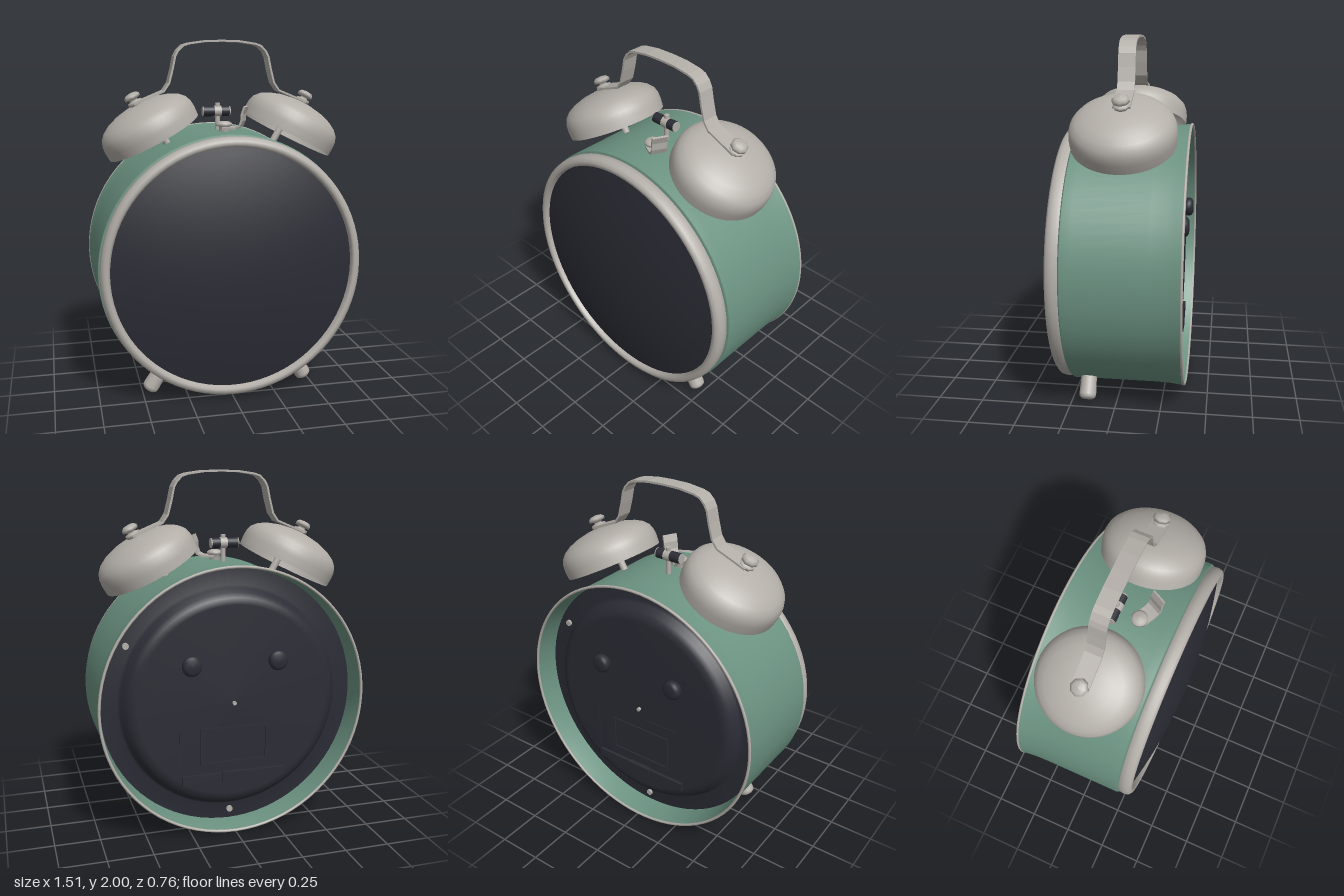
import * as THREE from 'three';

export function createModel() {
  const model = new THREE.Group();
  const CY = 0.757; // height of the case axis

  const mat = (name, color) => {
    const m = new THREE.MeshStandardMaterial({ color, side: THREE.DoubleSide });
    m.name = name;
    return m;
  };
  const green = mat('green enamel', 0x6c9382);
  const metal = mat('warm grey metal', 0xb3aea8);
  const dark = mat('dark plastic', 0x2b2c35);

  const add = (name, geo, material, x = 0, y = 0, z = 0, parent = model) => {
    const mesh = new THREE.Mesh(geo, material);
    mesh.name = name;
    mesh.position.set(x, y, z);
    parent.add(mesh);
    return mesh;
  };
  const lathe = (pts, seg = 64) =>
    new THREE.LatheGeometry(pts.map(([r, h]) => new THREE.Vector2(r, h)), seg);
  // Lathe turned so that its height runs along z, on the case axis
  const turned = (name, pts, material) =>
    add(name, lathe(pts, 80).rotateX(Math.PI / 2), material, 0, CY, 0);
  const box = (name, w, h, d, material, x, y, z) =>
    add(name, new THREE.BoxGeometry(w, h, d), material, x, y, z);
  const rod = (name, a, b, r, material, seg = 16) => {
    const p = new THREE.Vector3(...a), q = new THREE.Vector3(...b);
    const mesh = add(name, new THREE.CylinderGeometry(r, r, p.distanceTo(q), seg), material);
    mesh.position.copy(p).add(q).multiplyScalar(0.5);
    mesh.quaternion.setFromUnitVectors(new THREE.Vector3(0, 1, 0), q.sub(p).normalize());
    return mesh;
  };
  // Bent sheet strip: a path in x,y with a thickness, extruded along z
  const strap = (path, thick, width) => {
    const pts = path.map(([x, y]) => new THREE.Vector2(x, y));
    const inner = pts.map((p, i) => {
      const d = pts[Math.min(i + 1, pts.length - 1)].clone().sub(pts[Math.max(i - 1, 0)]).normalize();
      return new THREE.Vector2(p.x + d.y * thick, p.y - d.x * thick);
    });
    const shape = new THREE.Shape([...pts, ...inner.reverse()]);
    return new THREE.ExtrudeGeometry(shape, { depth: width, bevelEnabled: false }).translate(0, 0, -width / 2);
  };

  // Case: outer wall with a flared back, and the inner wall of the recess
  turned('caseWall', [[0.753, -0.37], [0.748, -0.33], [0.743, -0.28], [0.741, -0.2], [0.741, 0.2], [0.742, 0.245], [0.738, 0.253], [0.7, 0.255]], green);
  turned('caseInnerWall', [[0.729, -0.22], [0.731, -0.28], [0.736, -0.33], [0.742, -0.37]], green);
  add('backRim', new THREE.TorusGeometry(0.748, 0.008, 8, 80), metal, 0, CY, -0.369);

  // Front bezel and domed glass
  turned('bezel', [[0.715, 0.25], [0.732, 0.258], [0.735, 0.29], [0.729, 0.315], [0.712, 0.328], [0.695, 0.329], [0.683, 0.32], [0.678, 0.29]], metal);
  const dome = [];
  for (let i = 0; i <= 12; i++) {
    const r = 0.683 * (1 - i / 12);
    dome.push([r, 0.38 - 0.173 * r * r]);
  }
  turned('glass', dome, dark);

  // Back panel with a raised centre plate
  turned('backPanel', [[0, -0.325], [0.54, -0.322], [0.575, -0.312], [0.6, -0.29], [0.62, -0.255], [0.635, -0.24], [0.735, -0.235]], dark);
  for (const side of [-1, 1]) {
    const knob = lathe([[0, -0.38], [0.035, -0.378], [0.05, -0.37], [0.056, -0.355], [0.052, -0.335], [0.04, -0.32]], 24);
    add('settingKnob', knob.rotateX(Math.PI / 2), dark, side * 0.245, 0.98, 0);
  }
  for (const [x, y] of [[0.58, 1.09], [0, 0.085]])
    add('backScrew', new THREE.CylinderGeometry(0.018, 0.018, 0.025, 14).rotateX(Math.PI / 2), metal, x, y, -0.24);
  add('centrePin', new THREE.CylinderGeometry(0.011, 0.011, 0.03, 12).rotateX(Math.PI / 2), metal, 0, 0.75, -0.325);

  // Battery door: frame, latch bar and seams
  for (const s of [-1, 1]) {
    box('doorFrameSide', 0.012, 0.21, 0.014, dark, s * 0.19, 0.51, -0.324);
    box('doorFrameEdge', 0.39, 0.012, 0.014, dark, 0, 0.51 + s * 0.1, -0.324);
  }
  box('latchBar', 0.6, 0.05, 0.03, dark, 0, 0.325, -0.325);
  box('latchTab', 0.14, 0.06, 0.045, dark, 0, 0.325, -0.325);
  box('doorSeam', 0.22, 0.01, 0.01, dark, -0.14, 0.685, -0.323);
  box('doorSeam', 0.006, 0.28, 0.006, dark, 0.31, 0.52, -0.323);

  // Bells, posts, nuts and feet, mirrored left and right
  const tilt = 0.48, bellZ = -0.037;
  const bellProfile = [[0.28, 0], [0.283, 0.05], [0.28, 0.085], [0.268, 0.117], [0.241, 0.146],
    [0.2, 0.17], [0.14, 0.191], [0.07, 0.204], [0, 0.207]];
  const nutProfile = [[0.03, 0.2], [0.042, 0.213], [0.042, 0.228], [0.022, 0.232], [0.022, 0.242],
    [0.046, 0.244], [0.046, 0.26], [0.032, 0.273], [0, 0.278]];
  for (const s of [-1, 1]) {
    const bell = new THREE.Group();
    bell.name = s > 0 ? 'leftBell' : 'rightBell';
    bell.position.set(s * 0.387, 1.463, bellZ);
    bell.rotation.z = -s * tilt;
    model.add(bell);
    add('bellShell', lathe(bellProfile, 48), metal, 0, 0, 0, bell);
    add('bellNut', lathe(nutProfile, 8), metal, 0, 0, 0, bell);
    rod('bellPost', [s * 0.29, 1.39, bellZ], [s * 0.43, 1.63, bellZ], 0.02, metal);

    const foot = add('foot', lathe([[0, 0], [0.03, 0.003], [0.044, 0.014], [0.047, 0.03], [0.042, 0.16]], 24), metal,
      s * 0.47, 0.03, 0.157);
    foot.rotation.z = s * 0.56;
  }

  // Carrying handle
  const half = [[0.5, 1.654], [0.46, 1.672], [0.335, 1.724], [0.307, 1.765], [0.287, 1.84], [0.272, 1.91],
    [0.255, 1.942], [0.225, 1.972], [0.19, 1.984], [0.1, 1.997]];
  const path = [...half.map(([x, y]) => [-x, y]), [0, 2], ...half.slice().reverse()];
  add('handle', strap(path, 0.011, 0.092), metal, 0, 0, -0.039);

  // Hammer between the bells
  const hz = -0.06;
  rod('hammerStem', [-0.015, 1.48, hz], [-0.015, 1.65, hz], 0.014, metal);
  rod('hammerHead', [-0.098, 1.602, hz], [0.052, 1.602, hz], 0.029, dark, 20);
  for (const x of [-0.102, 0.052]) rod('hammerCap', [x, 1.602, hz], [x + 0.006, 1.602, hz], 0.028, metal, 20);
  rod('hammerCollar', [-0.035, 1.602, hz], [0.005, 1.602, hz], 0.031, metal, 20);

  // Alarm lever: screw with a round head, and a curved tongue under it
  add('leverScrew', lathe([[0.03, 0], [0.03, 0.034], [0.045, 0.036], [0.045, 0.05], [0.03, 0.06], [0, 0.064]], 20),
    metal, -0.003, 1.492, 0.06);
  const lever = add('lever', strap([[0, 1.523], [0.07, 1.523], [0.095, 1.535], [0.105, 1.56], [0.108, 1.6], [0.122, 1.64]], 0.012, 0.085),
    metal, -0.005, 0, 0.06);
  lever.rotation.y = -0.48;

  return model;
}
